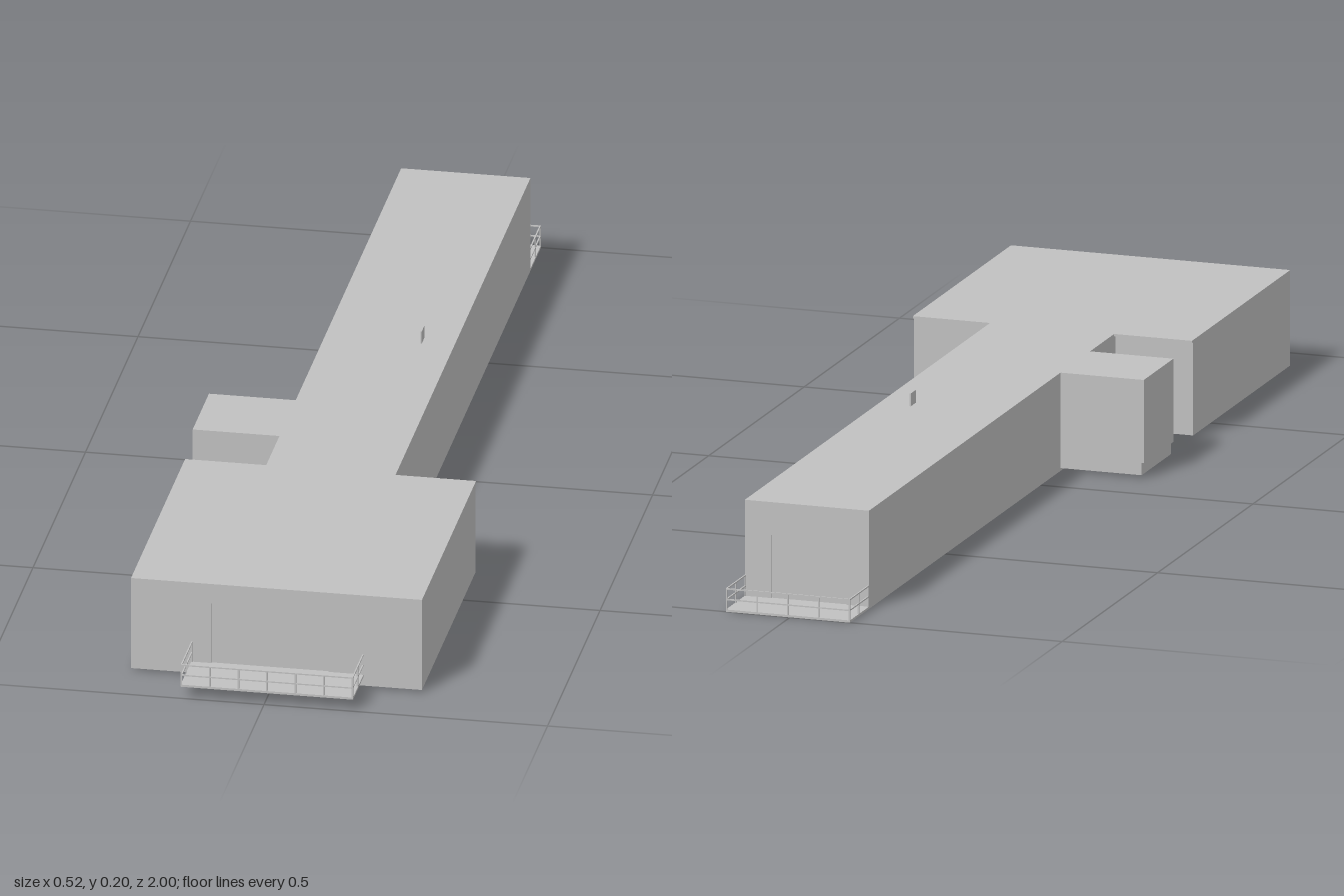
import * as THREE from 'three';

const grey = new THREE.MeshStandardMaterial({ color: 0xc0c0c0 });
grey.name = 'plain grey';

// Box given by its lower and upper limits on each axis
function block(name, [x0, x1], [y0, y1], [z0, z1]) {
  const mesh = new THREE.Mesh(new THREE.BoxGeometry(x1 - x0, y1 - y0, z1 - z0), grey);
  mesh.position.set((x0 + x1) / 2, (y0 + y1) / 2, (z0 + z1) / 2);
  mesh.name = name;
  return mesh;
}

// Thin end wall with a doorway cut through it, leaving a shallow recess
function doorWall(name, [x0, x1], [y0, y1], z, depth, [d0, d1], [sill, head]) {
  const shape = new THREE.Shape();
  shape.moveTo(x0, y0).lineTo(x1, y0).lineTo(x1, y1).lineTo(x0, y1).closePath();
  const door = new THREE.Path();
  door.moveTo(d0, sill).lineTo(d0, head).lineTo(d1, head).lineTo(d1, sill).closePath();
  shape.holes.push(door);
  const geometry = new THREE.ExtrudeGeometry(shape, { depth, bevelEnabled: false });
  const mesh = new THREE.Mesh(geometry, grey);
  mesh.position.z = z;
  mesh.name = name;
  return mesh;
}

// Balcony with a deck, posts on three sides and two rails; dir is +1 front, -1 back
function balcony(name, [x0, x1], deckY, wallZ, dir, bays) {
  const group = new THREE.Group();
  group.name = name;
  const t = 0.0024, deckTop = deckY + 0.004, height = 0.038;
  const outer = wallZ + dir * 0.1;
  const span = (a, b) => [Math.min(a, b), Math.max(a, b)];
  const edge = span(outer, outer - dir * t);
  group.add(block('deck', [x0, x1], [deckY, deckTop], span(wallZ, outer)));

  const post = (x, z) => group.add(block('railPost', [x, x + t], [deckTop, deckTop + height], z));
  for (let i = 0; i <= bays; i++) post(x0 + (x1 - x0 - t) * i / bays, edge);
  for (const x of [x0, x1 - t]) {
    post(x, span(wallZ + dir * 0.05, wallZ + dir * (0.05 + t)));
    post(x, span(wallZ, wallZ + dir * t));
  }
  for (const y of [deckTop + height / 2, deckTop + height]) {
    const ys = [y - t, y];
    group.add(block('outerRail', [x0, x1], ys, edge));
    for (const x of [x0, x1 - t]) group.add(block('sideRail', [x, x + t], ys, span(wallZ, outer)));
  }
  return group;
}

export function createModel() {
  const model = new THREE.Group();
  model.name = 'building';
  const top = 0.176, recess = 0.003;

  // Long wing and its end wall
  const wingX = [-0.11, 0.118];
  model.add(block('longWing', wingX, [0, top], [-0.9 + recess, 0.45]));
  model.add(doorWall('wingEndWall', wingX, [0, top], -0.9, recess, [-0.07, 0.07], [0.004, 0.117]));

  // Wide hall, front wall and roof edge over the rear wall
  const hallX = [-0.253, 0.26];
  model.add(block('wideHall', hallX, [0.005, top - 0.004], [0.391, 0.9 - recess]));
  model.add(block('hallRoof', hallX, [top - 0.004, top], [0.385, 0.9 - recess]));
  model.add(doorWall('hallFrontWall', hallX, [0.005, top], 0.9 - recess, recess, [-0.111, 0.095], [0.026, 0.139]));

  // Side annex with a slightly set back plinth
  model.add(block('annex', [-0.263, -0.108], [0.027, top], [0.104, 0.259]));
  model.add(block('annexPlinth', [-0.259, -0.108], [0.005, 0.027], [0.104, 0.259]));

  // Small upright plate on the roof
  model.add(block('roofPlate', [0.0585, 0.061], [top, 0.199], [-0.2, -0.172]));

  model.add(balcony('frontBalcony', [-0.147, 0.157], 0.022, 0.9, 1, 6));
  model.add(balcony('rearBalcony', wingX, 0, -0.9, -1, 4));
  return model;
}
